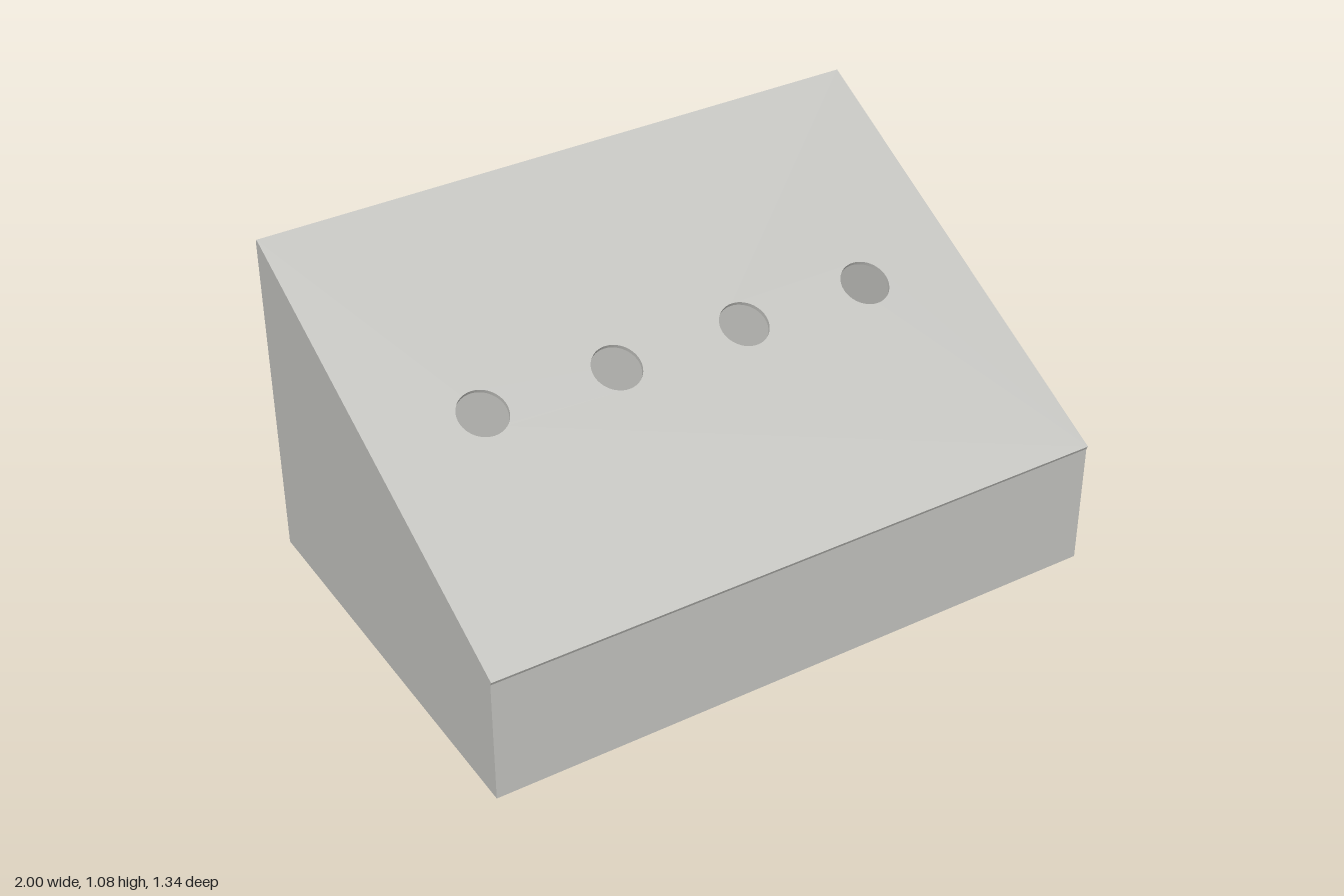
import * as THREE from 'three';

const T = 0.0133;                 // wall thickness
const Z = 0.667;                  // half depth
const FRONT_H = 0.402, BACK_H = 1.068;

// Flat panel with round holes [x, y, radius], extruded by the wall thickness
function panel(halfW, halfH, holes) {
  const shape = new THREE.Shape([
    new THREE.Vector2(-halfW, -halfH), new THREE.Vector2(halfW, -halfH),
    new THREE.Vector2(halfW, halfH), new THREE.Vector2(-halfW, halfH),
  ]);
  for (const [x, y, r] of holes) {
    shape.holes.push(new THREE.Path().absarc(x, y, r, 0, Math.PI * 2, true));
  }
  return new THREE.ExtrudeGeometry(shape, { depth: T, bevelEnabled: false, curveSegments: 24 });
}

export function createModel() {
  const group = new THREE.Group();
  const grey = new THREE.MeshStandardMaterial({ color: 0xc2c2be });
  grey.name = 'warm light grey';

  const add = (name, geometry, x, y, z) => {
    const mesh = new THREE.Mesh(geometry, grey);
    mesh.name = name;
    mesh.position.set(x, y, z);
    group.add(mesh);
    return mesh;
  };

  // Floor: four screw holes and two larger openings towards the back
  const floorHoles = [];
  for (const s of [-1, 1]) {
    floorHoles.push([s * 0.84, 0.505, 0.023], [s * 0.84, -0.505, 0.023], [s * 0.335, 0.267, 0.07]);
  }
  add('floor', panel(1, Z, floorHoles), 0, 0, 0).rotation.x = -Math.PI / 2;

  // Side walls with sloping top edge
  const profile = new THREE.Shape([
    new THREE.Vector2(-Z, T), new THREE.Vector2(Z, T),
    new THREE.Vector2(Z, FRONT_H), new THREE.Vector2(-Z, BACK_H),
  ]);
  const sideGeo = new THREE.ExtrudeGeometry(profile, { depth: T, bevelEnabled: false });
  add('leftSide', sideGeo, 1, 0, 0).rotation.y = -Math.PI / 2;
  add('rightSide', sideGeo, -1 + T, 0, 0).rotation.y = -Math.PI / 2;

  // Front wall, and back panel set in from the rim
  const inner = 2 - 2 * T;
  add('frontWall', new THREE.BoxGeometry(inner, FRONT_H - T, T), 0, (FRONT_H + T) / 2, Z - T / 2);
  const backTop = 1.054;
  add('backPanel', new THREE.BoxGeometry(inner, backTop - T, T), 0, (backTop + T) / 2, -Z + T * 1.5);

  // Sloping control panel with a row of four holes
  const rise = BACK_H - FRONT_H, run = 2 * Z;
  const slopeHoles = [-0.65, -0.217, 0.217, 0.65].map((x) => [x, 0, 0.077]);
  const top = add('slopingPanel', panel(1, Math.hypot(rise, run) / 2, slopeHoles),
    0, (FRONT_H + BACK_H) / 2, 0);
  top.rotation.x = -Math.atan2(run, rise);

  return group;
}
